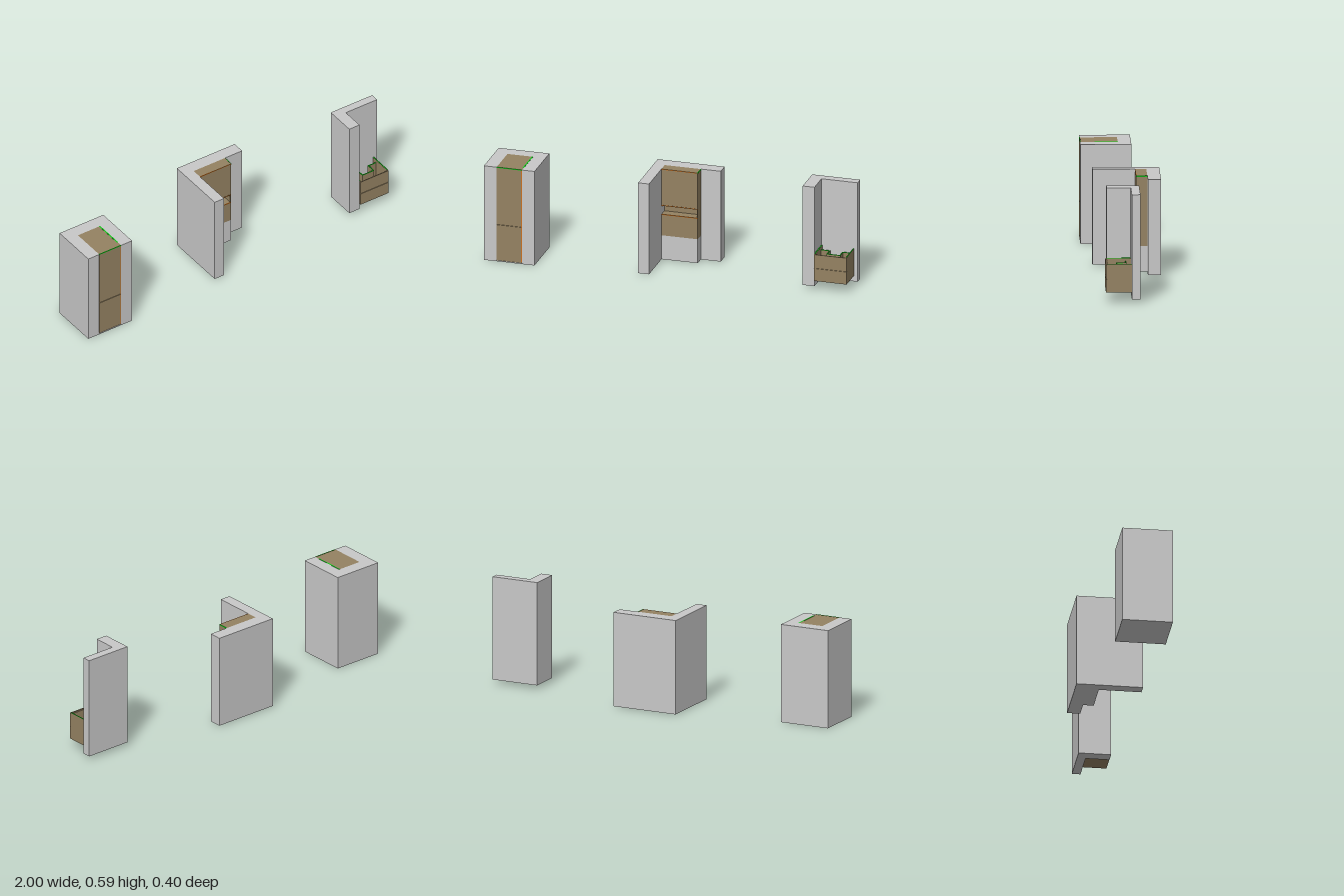
import * as THREE from 'three';

const mat = (name, color) => Object.assign(new THREE.MeshStandardMaterial({ color }), { name });

export function createModel() {
  const wall = mat('wall grey', 0xc8c8c8);
  const wood = mat('wood brown', 0x948262);
  const green = mat('green edging', 0x10c818);
  const orange = mat('orange edging', 0xc87020);

  const model = new THREE.Group();
  model.name = 'builtInCabinets';

  const unit = (name) => {
    const g = new THREE.Group();
    g.name = name;
    model.add(g);
    return g;
  };
  // Box given by its minimum and maximum on each axis
  const box = (parent, name, m, [x0, x1], [y0, y1], [z0, z1]) => {
    const mesh = new THREE.Mesh(new THREE.BoxGeometry(x1 - x0, y1 - y0, z1 - z0), m);
    mesh.position.set((x0 + x1) / 2, (y0 + y1) / 2, (z0 + z1) / 2);
    mesh.name = name;
    parent.add(mesh);
  };

  // Tall cupboard set into a three-sided alcove
  const tall = unit('tallCupboard');
  box(tall, 'backWall', wall, [-1, -0.72], [0, 0.535], [-0.07, 0]);
  box(tall, 'rightWall', wall, [-1, -0.93], [0, 0.535], [0, 0.2]);
  box(tall, 'leftWall', wall, [-0.79, -0.72], [0, 0.535], [0, 0.2]);
  box(tall, 'floor', wall, [-0.93, -0.79], [0, 0.004], [0, 0.2]);
  box(tall, 'carcass', wood, [-0.93, -0.79], [0.004, 0.535], [0, 0.196]);
  box(tall, 'lowerDoor', wood, [-0.929, -0.794], [0.01, 0.208], [0.196, 0.2]);
  box(tall, 'upperDoor', wood, [-0.929, -0.794], [0.211, 0.531], [0.196, 0.2]);
  box(tall, 'doorEdging', orange, [-0.794, -0.789], [0.01, 0.531], [0.196, 0.2]);
  box(tall, 'frontEdging', green, [-0.929, -0.79], [0.531, 0.536], [0.197, 0.2]);
  box(tall, 'topEdging', green, [-0.795, -0.788], [0.534, 0.536], [0, 0.17]);

  // Wall cupboard with an open niche, in an L-shaped corner
  const niche = unit('nicheCupboard');
  box(niche, 'backWall', wall, [-0.16, 0.21], [0.004, 0.518], [-0.2, -0.13]);
  box(niche, 'sideWall', wall, [-0.16, -0.1], [0.004, 0.518], [-0.13, 0.155]);
  box(niche, 'plinth', wall, [-0.1, 0.1], [0.004, 0.14], [-0.13, -0.073]);
  box(niche, 'lowerCabinet', wood, [-0.1, 0.1], [0.14, 0.26], [-0.13, -0.073]);
  box(niche, 'upperCabinet', wood, [-0.1, 0.1], [0.31, 0.518], [-0.13, -0.071]);
  box(niche, 'nicheBack', wood, [-0.1, 0.095], [0.26, 0.31], [-0.13, -0.124]);
  box(niche, 'nicheSide', wood, [0.095, 0.1], [0.26, 0.31], [-0.13, -0.073]);
  for (const y of [0.259, 0.311, 0.516])
    box(niche, 'shelfEdging', orange, [-0.1, 0.099], [y - 0.002, y + 0.002], [-0.074, -0.07]);
  box(niche, 'sideEdging', green, [0.098, 0.101], [0.513, 0.519], [-0.13, -0.071]);

  // Open-topped vanity in an L-shaped corner
  const vanity = unit('vanity');
  box(vanity, 'backWall', wall, [0.735, 1], [0.022, 0.585], [-0.067, -0.021]);
  box(vanity, 'sideWall', wall, [0.735, 0.8], [0.022, 0.585], [-0.021, 0.107]);
  box(vanity, 'bottom', wood, [0.8, 0.98], [0.055, 0.061], [-0.021, 0.111]);
  box(vanity, 'leftPanel', wood, [0.974, 0.98], [0.061, 0.207], [-0.021, 0.111]);
  box(vanity, 'rightPanel', wood, [0.8, 0.806], [0.061, 0.207], [-0.021, 0.111]);
  box(vanity, 'frontPanel', wood, [0.806, 0.974], [0.061, 0.2], [0.105, 0.111]);
  box(vanity, 'lowerDrawerFront', wood, [0.8, 0.98], [0.055, 0.126], [0.111, 0.115]);
  box(vanity, 'upperDrawerFront', wood, [0.8, 0.98], [0.129, 0.205], [0.111, 0.115]);
  for (const x of [0.8, 0.975])
    box(vanity, 'panelEdging', green, [x, x + 0.005], [0.207, 0.209], [-0.021, 0.107]);

  // Drawer walls stepping round the drain recess, each with an edged rim
  const recess = [
    [[0.806, 0.857], [0.004, 0.009]],
    [[0.852, 0.857], [0.009, 0.053]],
    [[0.852, 0.928], [0.053, 0.058]],
    [[0.923, 0.928], [0.009, 0.053]],
    [[0.923, 0.974], [0.004, 0.009]],
  ];
  for (const [x, z] of recess) {
    box(vanity, 'drawerWall', wood, x, [0.061, 0.19], z);
    box(vanity, 'drawerRim', green, x, [0.19, 0.193], z);
  }

  return model;
}
